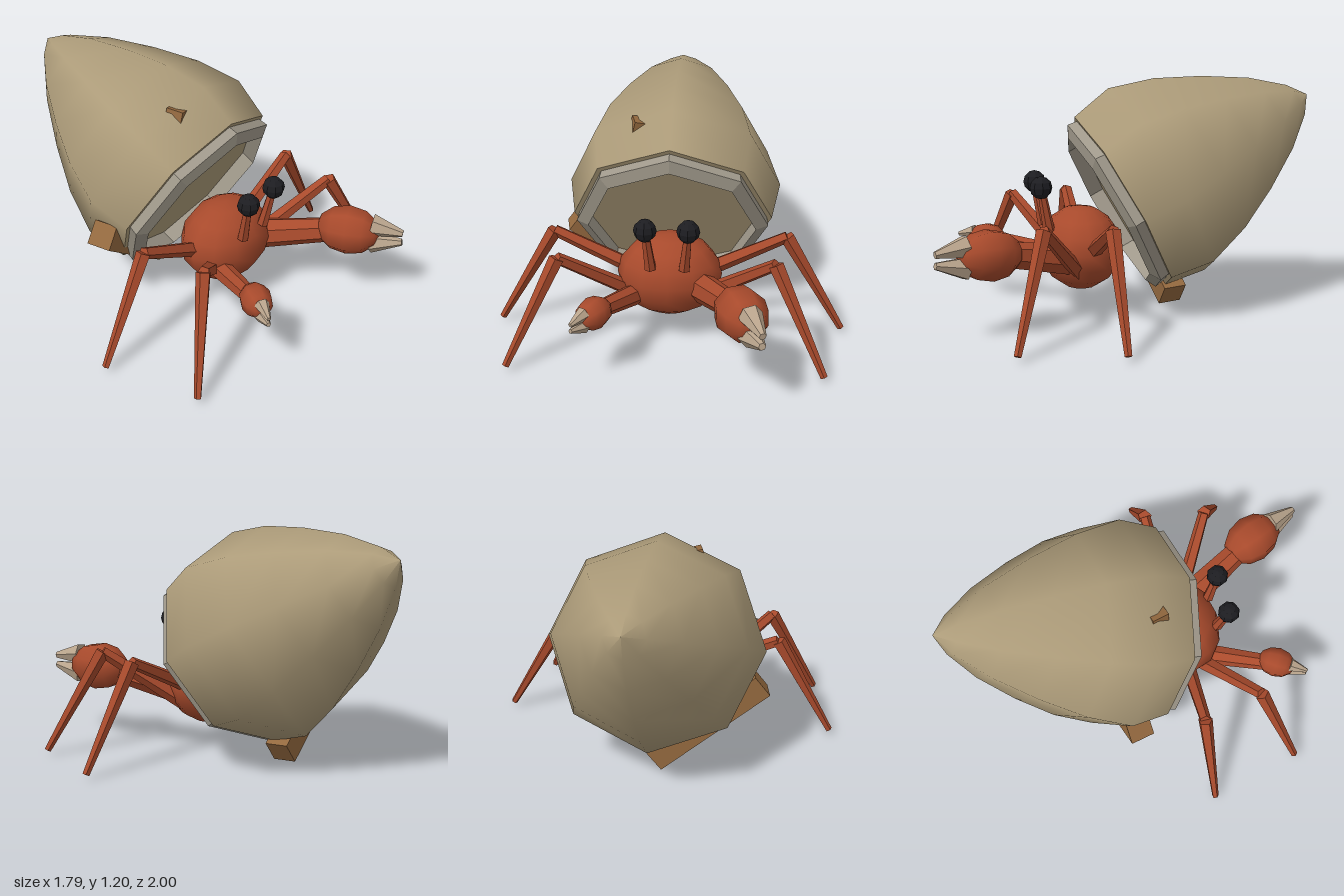
import * as THREE from 'three';

const mat = (color, flat = false) => new THREE.MeshStandardMaterial({ color, flatShading: flat, side: THREE.DoubleSide });
const V = (x, y, z) => new THREE.Vector3(x, y, z);
const UP = V(0, 1, 0);

export function createModel() {
  const model = new THREE.Group();
  const shellMat = mat(0xac9b79), rimMat = mat(0x9f988a, true), red = mat(0xa84a2c), redFlat = mat(0xa84a2c, true);
  const tipMat = mat(0xb9a48c, true), woodMat = mat(0x94693f, true), black = mat(0x1d1d21, true);

  const add = (name, geometry, material, parent = model) => {
    const mesh = new THREE.Mesh(geometry, material);
    mesh.name = name;
    parent.add(mesh);
    return mesh;
  };
  // Tapered rod between two points
  const rod = (name, a, b, ra, rb, sides, material, parent = model) => {
    const mesh = add(name, new THREE.CylinderGeometry(rb, ra, a.distanceTo(b), sides), material, parent);
    mesh.position.copy(a).lerp(b, 0.5);
    mesh.quaternion.setFromUnitVectors(UP, b.clone().sub(a).normalize());
    return mesh;
  };
  const lathe = (pts) => new THREE.LatheGeometry(pts.map(([r, y]) => new THREE.Vector2(r, y)), 8);

  // Shell: eight-sided spire tilted back
  const shell = new THREE.Group();
  shell.name = 'shell';
  shell.position.set(0, 0.58, 0.01);
  shell.rotation.x = -1.08;
  model.add(shell);
  add('shellSpire', lathe([[0.51, 0], [0.552, 0.22], [0.482, 0.45], [0.368, 0.68], [0.235, 0.9], [0.1, 1.065], [0, 1.145]]), shellMat, shell);
  add('shellMouth', lathe([[0, 0], [0.51, 0]]), shellMat, shell);
  add('shellRim', lathe([[0.43, 0], [0.43, -0.08], [0.492, -0.05], [0.485, 0]]), rimMat, shell);

  // Wooden sticks lodged through the shell
  const stick = (a, b, size, roll) => {
    const mesh = add('stick', new THREE.BoxGeometry(size, a.distanceTo(b), size), woodMat);
    mesh.position.copy(a).lerp(b, 0.5);
    mesh.quaternion.setFromUnitVectors(UP, b.clone().sub(a).normalize());
    mesh.rotateY(roll);
  };
  stick(V(-0.53, 0.49, -0.14), V(0.0, 0.075, -0.27), 0.125, 0.3);
  stick(V(-0.2, 1.075, 0.05), V(0.38, 0.94, -0.12), 0.085, 0.4);

  // Body
  const body = add('body', new THREE.SphereGeometry(1, 12, 8), red);
  body.scale.set(0.265, 0.215, 0.21);
  body.position.set(0, 0.362, 0.225);

  for (const s of [1, -1]) {
    // Eyes on stalks
    rod('eyeStalk', V(s * 0.083, 0.47, 0.4), V(s * 0.103, 0.68, 0.44), 0.03, 0.02, 6, redFlat);
    const eye = add('eye', new THREE.SphereGeometry(0.057, 8, 6), black);
    eye.position.set(s * 0.104, 0.693, 0.442);

    // Two walking legs a side: hip, knee, foot
    const legs = [
      [V(s * 0.16, 0.36, 0.2), V(s * 0.585, 0.56, 0.185), V(s * 0.88, 0.05, 0.185)],
      [V(s * 0.17, 0.27, 0.27), V(s * 0.525, 0.56, 0.5), V(s * 0.77, 0.05, 0.665)],
    ];
    legs.forEach(([hip, knee, foot], i) => {
      const leg = new THREE.Group();
      leg.name = i ? 'frontLeg' : 'backLeg';
      model.add(leg);
      rod('upperLeg', hip, knee, 0.042, 0.03, 5, redFlat, leg);
      rod('lowerLeg', knee, foot, 0.038, 0.018, 5, redFlat, leg);
    });
  }

  // Claws: arm, ellipsoid hand, pair of blunt pincers
  const claw = (name, shoulder, wrist, hand, tip, rArm, rHand, halfLength) => {
    const group = new THREE.Group();
    group.name = name;
    model.add(group);
    rod('arm', shoulder, wrist, rArm, rArm * 0.8, 7, redFlat, group);
    const dir = tip.clone().sub(hand).normalize();
    const palm = add('hand', new THREE.SphereGeometry(1, 8, 6), red, group);
    palm.position.copy(hand);
    palm.scale.set(rHand, halfLength, rHand);
    palm.quaternion.setFromUnitVectors(UP, dir);
    for (const s of [1, -1]) {
      const base = hand.clone().addScaledVector(dir, halfLength * 0.72).addScaledVector(UP, s * rHand * 0.4);
      const end = tip.clone().addScaledVector(UP, s * rHand * 0.2);
      rod('pincer', base, end, rHand * 0.46, rHand * 0.14, 6, tipMat, group);
    }
  };
  claw('largeClaw', V(0.15, 0.33, 0.3), V(0.32, 0.41, 0.64), V(0.365, 0.425, 0.735), V(0.462, 0.435, 0.995), 0.08, 0.128, 0.165);
  claw('smallClaw', V(-0.17, 0.29, 0.34), V(-0.31, 0.35, 0.61), V(-0.33, 0.36, 0.665), V(-0.42, 0.355, 0.805), 0.055, 0.08, 0.1);

  return model;
}
